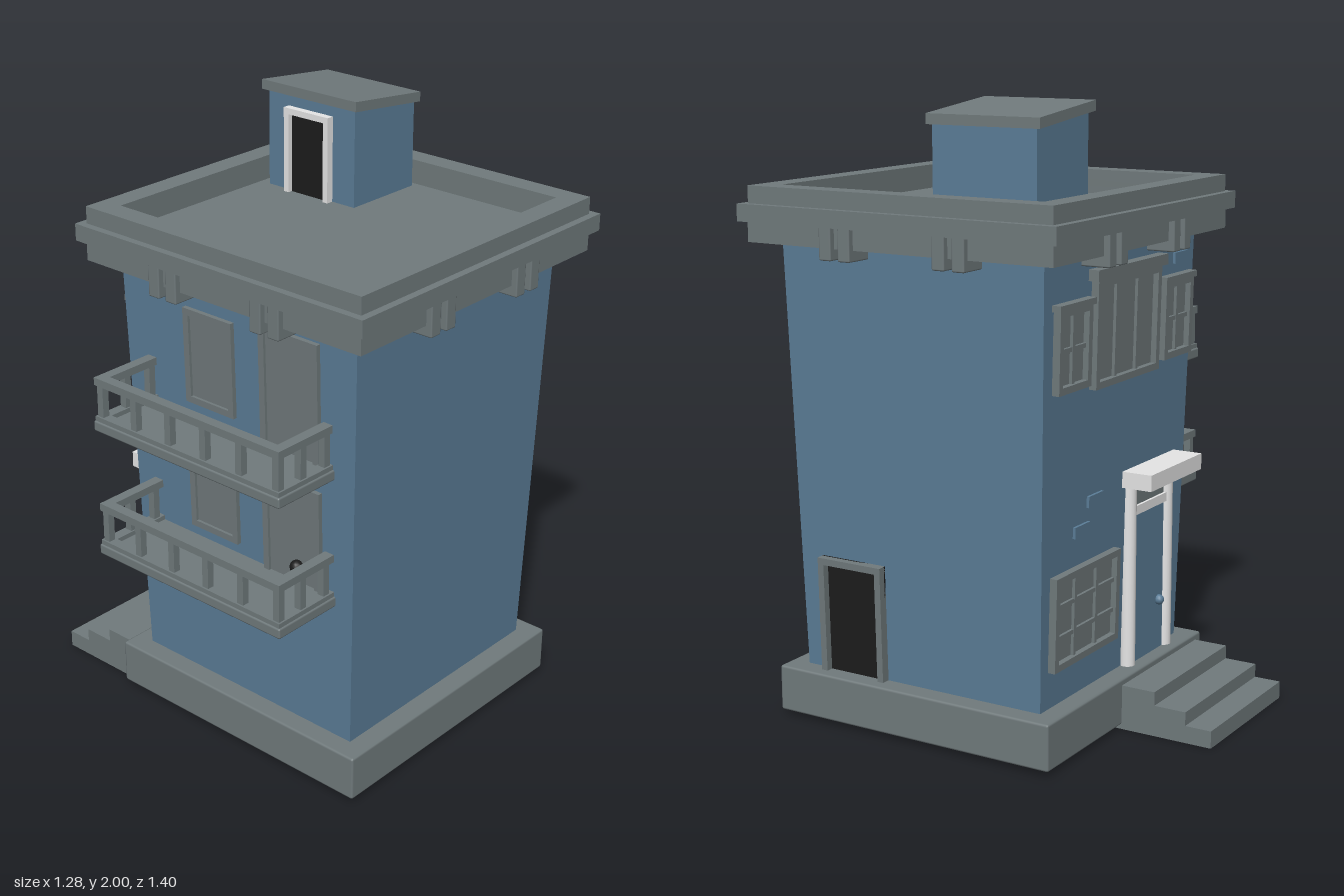
import * as THREE from 'three';
import { RoundedBoxGeometry } from 'three/addons/geometries/RoundedBoxGeometry.js';

const mat = (name, color) => new THREE.MeshStandardMaterial({ name, color });

export function createModel() {
  const blue = mat('bluePaint', 0x5b7d97);
  const grey = mat('greyStone', 0x707a7c);
  const black = mat('blackOpening', 0x1c1c1c);
  const white = mat('whiteTrim', 0xe6e6e6);
  const CX = 0.065, CZ = 0.125, LEAN = 0.025; // tower axis and outward wall lean
  const model = new THREE.Group();
  model.name = 'towerHouse';

  const add = (parent, name, geo, material) => {
    const m = new THREE.Mesh(geo, material);
    m.name = name;
    parent.add(m);
    return m;
  };
  // Box given by its minimum and maximum corners
  const box = (parent, name, material, x0, x1, y0, y1, z0, z1, r = 0) => {
    const geo = r
      ? new RoundedBoxGeometry(x1 - x0, y1 - y0, z1 - z0, 1, r)
      : new THREE.BoxGeometry(x1 - x0, y1 - y0, z1 - z0);
    const m = add(parent, name, geo, material);
    m.position.set((x0 + x1) / 2, (y0 + y1) / 2, (z0 + z1) / 2);
    return m;
  };
  const square = (name, half, y0, y1, r) =>
    box(model, name, grey, CX - half, CX + half, y0, y1, CZ - half, CZ + half, r);
  const group = (parent, name) => {
    const g = new THREE.Group();
    g.name = name;
    parent.add(g);
    return g;
  };
  const outline = (Type, pts) => new Type(pts.map(([x, y]) => new THREE.Vector2(x, y)));
  const extrude = (name, material, shape, depth) =>
    add(model, name, new THREE.ExtrudeGeometry(shape, { depth, bevelEnabled: false }), material);

  // Base slab and walls that widen upward
  square('base', 0.508, 0.018, 0.17, 0.008);
  const walls = new THREE.BoxGeometry(1, 1.4, 1);
  const wp = walls.attributes.position;
  for (let i = 0; i < wp.count; i++) {
    const w = wp.getY(i) > 0 ? 0.95 : 0.88;
    wp.setXYZ(i, wp.getX(i) * w, wp.getY(i), wp.getZ(i) * w);
  }
  walls.computeVertexNormals();
  add(model, 'walls', walls, blue).position.set(CX, 0.87, CZ);

  // Roof: soffit, sunken flat roof and a two-tier parapet around it
  const INNER = 0.473;
  const corners = (h) => [[-h, -h], [h, -h], [h, h], [-h, h]];
  const ring = (name, half, y0, y1) => {
    const shape = outline(THREE.Shape, corners(half));
    shape.holes.push(outline(THREE.Path, corners(INNER)));
    const m = extrude(name, grey, shape, y1 - y0);
    m.rotation.x = -Math.PI / 2;
    m.position.set(CX, y0, CZ);
  };
  square('soffit', 0.55, 1.555, 1.622);
  square('flatRoof', INNER, 1.6, 1.65);
  ring('cornice', 0.573, 1.62, 1.675);
  ring('parapet', 0.548, 1.675, 1.73);
  for (let side = 0; side < 4; side++) {
    const g = group(model, 'roofBrackets');
    g.position.set(CX, 0, CZ);
    g.rotation.y = side * Math.PI / 2;
    for (const u of [-0.24, -0.17, 0.17, 0.24])
      box(g, 'bracket', grey, u - 0.022, u + 0.022, 1.52, 1.625, 0.45, 0.57, 0.005);
  }

  // Rooftop stair shed with sloped cap and doorway
  const prism = (name, material, pts, z0, z1) => {
    const m = extrude(name, material, outline(THREE.Shape, pts), z1 - z0);
    m.position.z = z0;
    return m;
  };
  prism('shedWalls', blue, [[0.222, 1.64], [0.515, 1.64], [0.515, 1.95], [0.222, 1.98]], -0.31, 0.05);
  prism('shedCap', grey, [[0.207, 1.968], [0.527, 1.933], [0.527, 1.965], [0.207, 2.0]], -0.327, 0.065);
  const shedDoor = group(model, 'shedDoor');
  box(shedDoor, 'shedOpening', black, 0.213, 0.223, 1.65, 1.91, -0.205, -0.06);
  for (const z of [-0.225, -0.06])
    box(shedDoor, 'shedJamb', white, 0.197, 0.223, 1.65, 1.93, z, z + 0.02);
  box(shedDoor, 'shedLintel', white, 0.197, 0.223, 1.91, 1.93, -0.205, -0.06);

  // Leaning local frame for fixtures: u along the wall, h above the base, z outward
  const wallFrame = (name, angle) => {
    const g = group(model, name);
    g.position.set(CX + Math.sin(angle) * 0.44, 0.17, CZ + Math.cos(angle) * 0.44);
    g.rotation.set(LEAN, angle, 0, 'YXZ');
    return g;
  };
  // Framed panel with a grid of glazing bars
  const framed = (parent, name, u0, u1, h0, h1,
    { cols = 1, rows = 1, pane = grey, sill = true, out = 0.025 } = {}) => {
    const g = group(parent, name), t = 0.022;
    box(g, 'pane', pane, u0, u1, h0, h1, -0.01, 0.006);
    for (const u of [u0, u1 - t]) box(g, 'jamb', grey, u, u + t, h0, h1, -0.01, out);
    box(g, 'head', grey, u0, u1, h1 - t, h1, -0.01, out);
    if (sill) box(g, 'sill', grey, u0, u1, h0, h0 + t, -0.01, out);
    for (let i = 1; i < cols; i++) {
      const u = u0 + (u1 - u0) * i / cols;
      box(g, 'verticalBar', grey, u - 0.007, u + 0.007, h0, h1, 0, 0.016);
    }
    for (let i = 1; i < rows; i++) {
      const h = h0 + (h1 - h0) * i / rows;
      box(g, 'crossBar', grey, u0, u1, h - 0.007, h + 0.007, 0, 0.015);
    }
  };
  const knob = (parent, u, h, z, material, r) =>
    add(parent, 'doorKnob', new THREE.SphereGeometry(r, 12, 8), material).position.set(u, h, z);

  // Entrance wall: windows
  const back = wallFrame('entranceWall', Math.PI);
  framed(back, 'lowerWindow', -0.4, -0.005, 0.12, 0.42, { cols: 3, rows: 3 });
  framed(back, 'upperWindow', -0.195, 0.21, 0.965, 1.3, { cols: 3 });
  box(back, 'upperWindowCap', grey, -0.215, 0.23, 1.3, 1.335, -0.01, 0.035);
  for (const u of [-0.32, 0.342]) {
    framed(back, 'smallWindow', u - 0.095, u + 0.095, 0.985, 1.24, { cols: 2, rows: 2 });
    box(back, 'smallWindowCap', grey, u - 0.105, u + 0.105, 1.235, 1.255, -0.01, 0.03);
  }
  // Loose bricks standing proud of the wall
  for (const [u, h] of [[-0.145, 0.61], [-0.225, 0.53], [0.375, 1.305]])
    box(back, 'brick', blue, u - 0.045, u + 0.045, h - 0.018, h + 0.018, -0.01, 0.009);

  // Front door with round posts, transom and hood
  const porch = group(model, 'porch');
  box(porch, 'frontDoor', blue, -0.25, -0.04, 0.17, 0.67, -0.336, -0.3);
  box(porch, 'transomBar', white, -0.25, -0.04, 0.67, 0.7, -0.345, -0.3);
  box(porch, 'transomPane', grey, -0.25, -0.04, 0.7, 0.78, -0.336, -0.3);
  for (const x of [-0.27, -0.02])
    add(porch, 'post', new THREE.CylinderGeometry(0.026, 0.026, 0.63, 16), white)
      .position.set(x, 0.465, -0.328);
  box(porch, 'hood', white, -0.32, 0.03, 0.775, 0.828, -0.435, -0.3);
  knob(porch, -0.212, 0.34, -0.342, blue, 0.017);

  // Entrance steps, a stepped profile swept across the doorway
  const steps = prism('steps', grey, [[0.36, 0.003], [0.7, 0.003], [0.7, 0.06], [0.61, 0.06],
    [0.61, 0.105], [0.5, 0.105], [0.5, 0.15], [0.36, 0.15]], 0, 0.517);
  steps.rotation.y = Math.PI / 2;
  steps.position.x = -0.403;

  // Side doorway
  const right = wallFrame('sideWall', Math.PI / 2);
  framed(right, 'sideDoor', -0.366, -0.124, 0, 0.38, { pane: black, sill: false, out: 0.03 });

  // Balcony wall: a window and a door on each floor
  const left = wallFrame('balconyWall', -Math.PI / 2);
  for (const [h, top] of [[0.5, 0.85], [0.94, 1.335]]) {
    framed(left, 'balconyWindow', -0.205, -0.005, h + 0.05, top - 0.03, { out: 0.015 });
    framed(left, 'balconyDoor', 0.105, 0.335, h, top, { sill: false, out: 0.015 });
  }
  knob(left, 0.245, 0.57, 0.018, black, 0.022);

  // Balconies: rimmed floor, posts and handrails
  for (const y of [0.645, 1.08]) {
    const b = group(model, 'balcony');
    box(b, 'balconyFloor', grey, -0.64, -0.37, y, y + 0.035, -0.26, 0.51, 0.006);
    const rails = (name, y0, y1, w) => {
      box(b, name, grey, -0.635, -0.635 + w, y0, y1, -0.255, 0.505);
      for (const z of [-0.255, 0.505 - w])
        box(b, name, grey, -0.635 + w, -0.38, y0, y1, z, z + w);
    };
    rails('floorRim', y + 0.03, y + 0.05, 0.035);
    rails('handrail', y + 0.155, y + 0.18, 0.035);
    const post = (x, z) => box(b, 'baluster', grey, x - 0.012, x + 0.012, y + 0.04, y + 0.16, z - 0.012, z + 0.012);
    for (let i = 0; i < 6; i++) post(-0.617, -0.237 + i * 0.1448);
    for (const x of [-0.522, -0.418]) for (const z of [-0.237, 0.487]) post(x, z);
  }
  return model;
}
